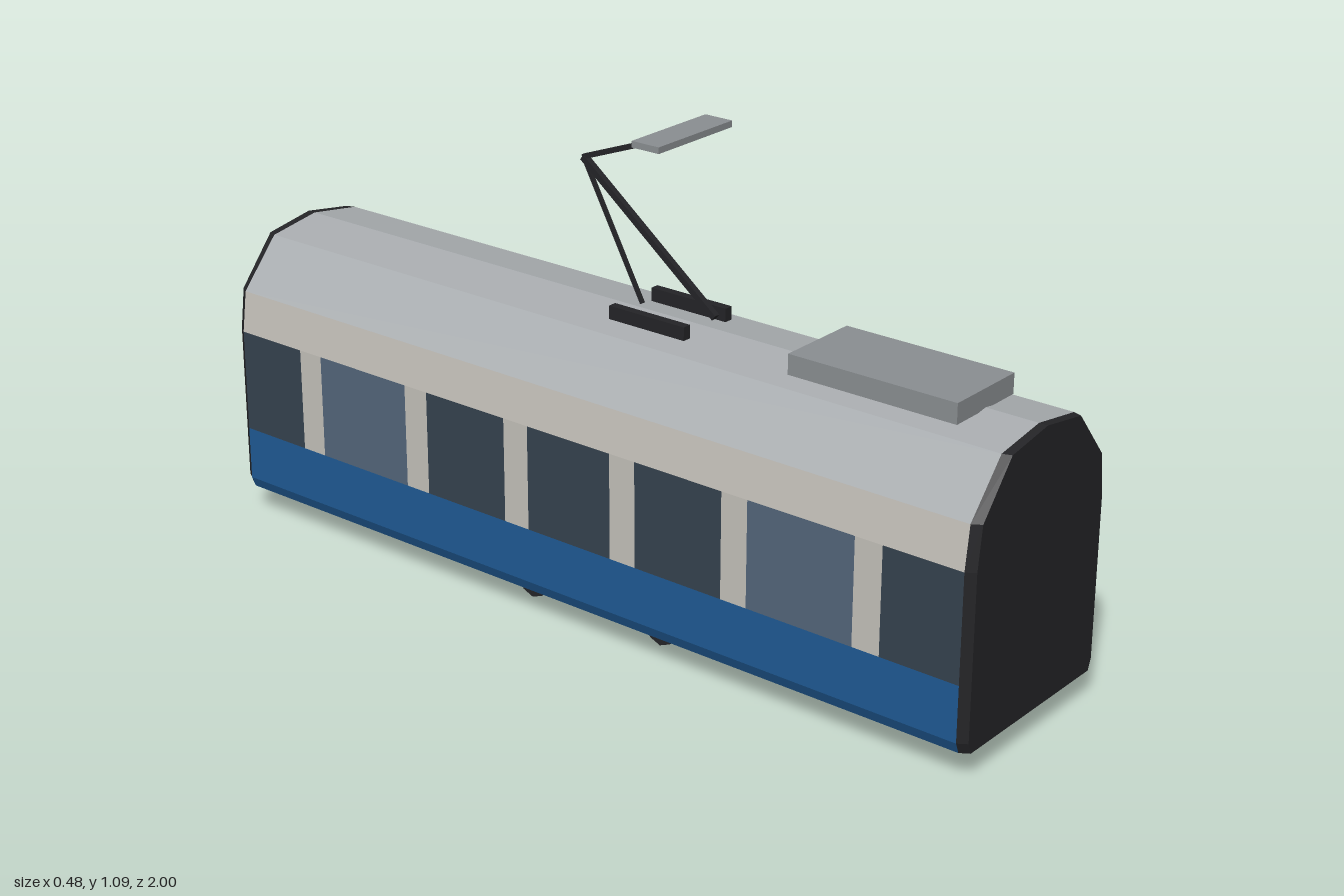
import * as THREE from 'three';

const mat = (color) => new THREE.MeshStandardMaterial({ color, flatShading: true, side: THREE.DoubleSide });
const M = {
  blue: mat(0x1f5a94), cream: mat(0xc4c1ba), glass: mat(0x35424f), doorGlass: mat(0x53667a),
  roof: mat(0xa9adb0), black: mat(0x242427), unit: mat(0x8b8f92),
};

// Right half of the body section, from floor edge to ridge
const HALF = [[0.23, 0.065], [0.24, 0.09], [0.24, 0.455], [0.227, 0.55], [0.13, 0.66], [0, 0.68]];
const mirror = (pts) => pts.map(([x, y]) => [-x, y]).reverse();
const OUTLINE = [...HALF, ...mirror(HALF).slice(1)];
const END_SCALE = 0.945;

// Sheet following a section line between two z positions; s narrows its z1 edge
function sheet(pts, z0, z1, s = 1) {
  const v = [];
  for (let i = 0; i + 1 < pts.length; i++) {
    const [x0, y0] = pts[i], [x1, y1] = pts[i + 1];
    const a = [x0 * s, y0, z1], b = [x0, y0, z0], c = [x1, y1, z0], d = [x1 * s, y1, z1];
    v.push(...a, ...b, ...c, ...a, ...c, ...d);
  }
  const g = new THREE.BufferGeometry();
  g.setAttribute('position', new THREE.Float32BufferAttribute(v, 3));
  g.computeVertexNormals();
  return g;
}

function add(parent, name, geometry, material, x = 0, y = 0, z = 0) {
  const mesh = new THREE.Mesh(geometry, material);
  mesh.name = name;
  mesh.position.set(x, y, z);
  parent.add(mesh);
  return mesh;
}

function box(parent, name, material, w, h, d, x, y, z) {
  return add(parent, name, new THREE.BoxGeometry(w, h, d), material, x, y, z);
}

// Square bar in the x = 0 plane between two [y, z] points
function bar(parent, name, t, [y0, z0], [y1, z1]) {
  const len = Math.hypot(y1 - y0, z1 - z0);
  const m = box(parent, name, M.black, t, t, len, 0, (y0 + y1) / 2, (z0 + z1) / 2);
  m.rotation.x = -Math.atan2(y1 - y0, z1 - z0);
}

export function createModel() {
  const model = new THREE.Group();
  model.name = 'railcar';
  const L = 0.98;

  // Body sides, mirrored left and right
  const edges = [-L, -0.795, -0.73, -0.47, -0.405, -0.18, -0.113, 0.113, 0.18, 0.405, 0.47, 0.73, 0.795, L];
  for (const [side, flip] of [['left', (p) => p], ['right', mirror]]) {
    const body = new THREE.Group();
    body.name = side + 'Side';
    model.add(body);
    add(body, 'skirt', sheet(flip([HALF[0], HALF[1], [0.24, 0.215]]), -L, L), M.blue);
    add(body, 'upperPanel', sheet(flip([HALF[2], HALF[3]]), -L, L), M.cream);
    const band = flip([[0.24, 0.215], HALF[2]]);
    for (let i = 0; i + 1 < edges.length; i++) {
      const pillar = i % 2 === 1, door = i === 2 || i === 10;
      add(body, pillar ? 'pillar' : door ? 'doorWindow' : 'window', sheet(band, edges[i], edges[i + 1]),
        pillar ? M.cream : door ? M.doorGlass : M.glass);
    }
  }
  add(model, 'roof', sheet(OUTLINE.slice(3, 8), -L, L), M.roof);
  add(model, 'floor', sheet([[-0.23, 0.065], [0.23, 0.065]], -L, L), M.black);

  // Dark tapered end walls
  const endShape = new THREE.Shape(OUTLINE.map(([x, y]) => new THREE.Vector2(x * END_SCALE, y)));
  for (const [name, turn] of [['frontEnd', 0], ['backEnd', Math.PI]]) {
    const end = new THREE.Group();
    end.name = name;
    end.rotation.y = turn;
    add(end, 'endRim', sheet([...OUTLINE, OUTLINE[0]], L, 1, END_SCALE), M.black);
    add(end, 'endWall', new THREE.ShapeGeometry(endShape), M.black, 0, 0, 1);
    model.add(end);
  }

  // Bogie under the middle, wheels just showing below the frame
  const bogie = new THREE.Group();
  bogie.name = 'bogie';
  model.add(bogie);
  box(bogie, 'bogieFrame', M.black, 0.31, 0.05, 0.48, 0, 0.042, 0);
  const wheel = new THREE.CylinderGeometry(0.038, 0.038, 0.03, 8).rotateZ(Math.PI / 2);
  for (const x of [-0.14, 0.14]) for (const z of [-0.18, 0.18]) add(bogie, 'wheel', wheel, M.black, x, 0.038, z);

  // Roof equipment
  box(model, 'roofUnit', M.unit, 0.2, 0.045, 0.4, 0, 0.6985, 0.66);
  const pantograph = new THREE.Group();
  pantograph.name = 'pantograph';
  model.add(pantograph);
  for (const x of [-0.07, 0.07]) box(pantograph, 'baseRail', M.black, 0.02, 0.03, 0.2, x, 0.687, 0.08);
  bar(pantograph, 'lowerArm', 0.014, [0.705, 0.2], [0.982, -0.155]);
  bar(pantograph, 'thrustRod', 0.008, [0.69, 0.005], [0.982, -0.155]);
  bar(pantograph, 'upperArm', 0.011, [0.982, -0.155], [1.08, 0.11]);
  box(pantograph, 'contactHead', M.unit, 0.24, 0.014, 0.07, 0, 1.083, 0.11);
  return model;
}
